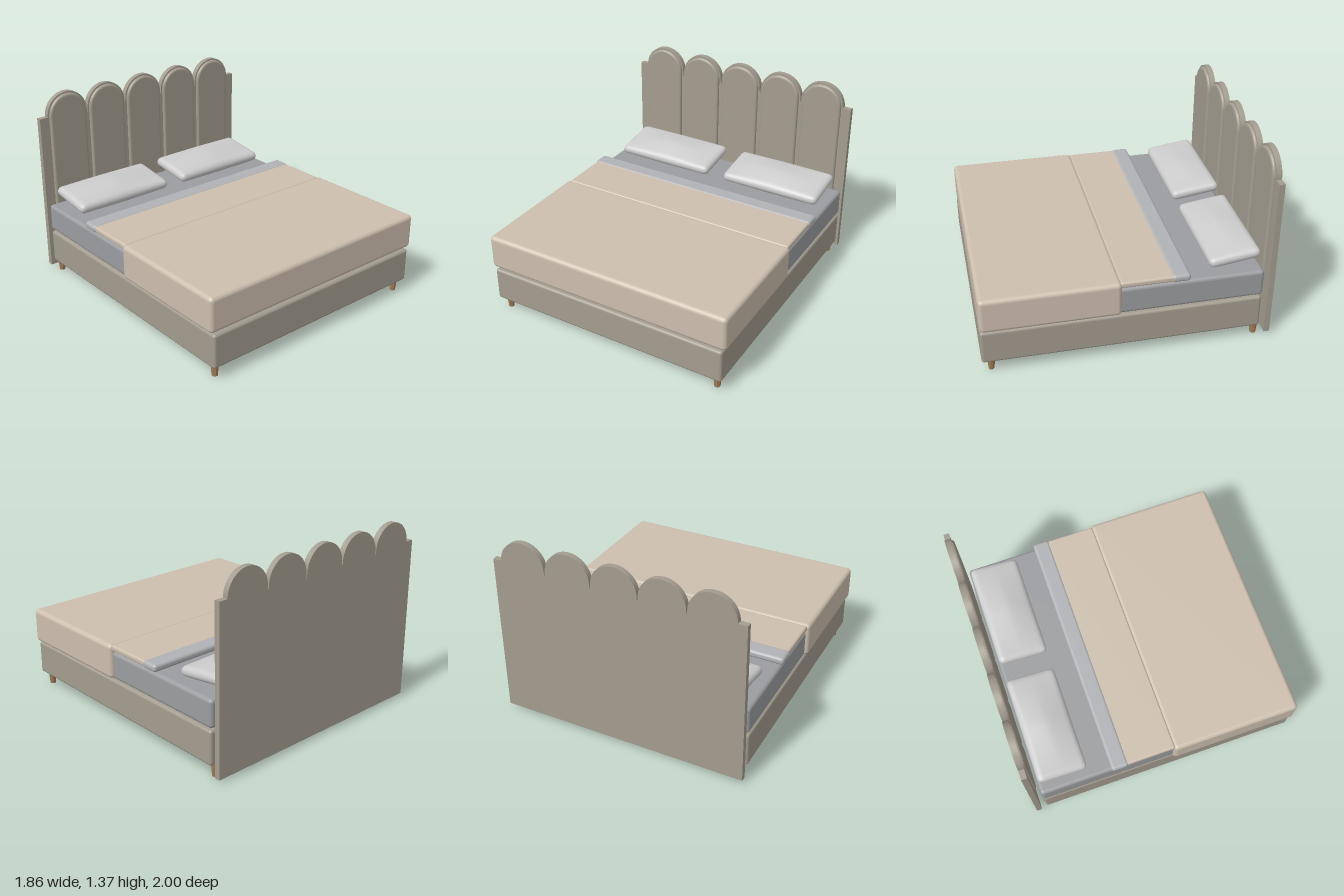
import * as THREE from 'three';
import { RoundedBoxGeometry } from 'three/addons/geometries/RoundedBoxGeometry.js';
import { mergeVertices } from 'three/addons/utils/BufferGeometryUtils.js';

const material = (color) => new THREE.MeshStandardMaterial({ color });
const upholstery = material(0xa39c8f);
const duvetCloth = material(0xcdbfae);
const mattressCloth = material(0x9c9da0);
const sheetCloth = material(0xb0b2b5);
const pillowCloth = material(0xd6d6d2);
const wood = material(0xa07d58);

function addMesh(parent, name, geometry, mat) {
  const mesh = new THREE.Mesh(geometry, mat);
  mesh.name = name;
  parent.add(mesh);
  return mesh;
}

// Rounded box centred on x, given by its width and its y and z ranges
function addSoftBox(parent, name, width, [y0, y1], [z0, z1], radius, mat) {
  const geometry = new RoundedBoxGeometry(width, y1 - y0, z1 - z0, 5, radius);
  geometry.translate(0, (y0 + y1) / 2, (z0 + z1) / 2);
  return addMesh(parent, name, geometry, mat);
}

// Box with fully rounded rim that swells towards its middle
function pillowGeometry(w, h, d, swell) {
  const r = h / 2;
  let geometry = new THREE.BoxGeometry(w, h, d, 48, 8, 24);
  geometry.deleteAttribute('uv');
  geometry.deleteAttribute('normal');
  geometry = mergeVertices(geometry);
  const pos = geometry.attributes.position;
  const half = new THREE.Vector3(w / 2 - r, 0, d / 2 - r);
  const low = half.clone().negate();
  const p = new THREE.Vector3();
  const inner = new THREE.Vector3();
  for (let i = 0; i < pos.count; i++) {
    p.fromBufferAttribute(pos, i);
    inner.copy(p).clamp(low, half);
    p.sub(inner).setLength(r).add(inner);
    const u = Math.min(1, Math.abs(p.x) / (w / 2));
    const v = Math.min(1, Math.abs(p.z) / (d / 2));
    p.y += (p.y / r) * swell * (1 - u ** 1.3) * (1 - v ** 1.5);
    pos.setXYZ(i, p.x, p.y, p.z);
  }
  geometry.computeVertexNormals();
  return geometry;
}

const PITCH = 0.338;
const ARCH_Y = 1.205;
const CHANNELS = [-2, -1, 0, 1, 2].map((i) => i * PITCH);

// Back board with a scalloped top edge
function boardShape() {
  const s = new THREE.Shape();
  s.moveTo(-0.905, 0.03);
  s.lineTo(0.905, 0.03);
  s.lineTo(0.905, ARCH_Y);
  [...CHANNELS].reverse().forEach((x, i) => {
    s.lineTo(x + 0.165, ARCH_Y);
    s.absarc(x, ARCH_Y, 0.165, 0, Math.PI, false);
    if (i < 4) s.lineTo(x - PITCH / 2, ARCH_Y - 0.04);
  });
  s.lineTo(-0.905, ARCH_Y);
  s.closePath();
  return s;
}

// Tall arched panel outline
function archShape(r, bottom) {
  const s = new THREE.Shape();
  s.moveTo(-r, bottom);
  s.lineTo(r, bottom);
  s.lineTo(r, ARCH_Y);
  s.absarc(0, ARCH_Y, r, 0, Math.PI, false);
  s.closePath();
  return s;
}

export function createModel() {
  const bed = new THREE.Group();
  bed.name = 'bed';

  // Headboard: board and five padded channels
  const headboard = new THREE.Group();
  headboard.name = 'headboard';
  bed.add(headboard);
  const board = new THREE.ExtrudeGeometry(boardShape(), {
    depth: 0.04, bevelEnabled: false, curveSegments: 24,
  });
  addMesh(headboard, 'backBoard', board, upholstery).position.z = -1;
  const channel = new THREE.ExtrudeGeometry(archShape(0.135, 0.465), {
    depth: 0.004, bevelEnabled: true, bevelThickness: 0.018, bevelSize: 0.018,
    bevelSegments: 5, curveSegments: 24,
  });
  for (const x of CHANNELS) {
    addMesh(headboard, 'paddedChannel', channel, upholstery).position.set(x, 0, -0.962);
  }

  // Base and mattress
  addSoftBox(bed, 'base', 1.81, [0.09, 0.337], [-0.92, 1], 0.02, upholstery);
  addSoftBox(bed, 'baseTop', 1.7, [0.3, 0.352], [-0.9, 0.96], 0.01, upholstery);
  addSoftBox(bed, 'mattress', 1.81, [0.35, 0.547], [-0.925, 0.97], 0.025, mattressCloth);

  // Bedding
  addSoftBox(bed, 'duvet', 1.86, [0.35, 0.602], [0.06, 1], 0.03, duvetCloth);
  addSoftBox(bed, 'duvetFold', 1.825, [0.557, 0.6], [-0.3, 0.07], 0.015, duvetCloth);
  addSoftBox(bed, 'sheetFold', 1.84, [0.553, 0.606], [-0.405, -0.28], 0.022, sheetCloth);

  // Pillows, raised at the headboard end
  const pillow = pillowGeometry(0.775, 0.072, 0.358, 0.036);
  for (const side of [-1, 1]) {
    const mesh = addMesh(bed, side > 0 ? 'leftPillow' : 'rightPillow', pillow, pillowCloth);
    mesh.position.set(side * 0.456, 0.624, -0.737);
    mesh.rotation.x = 0.14;
  }

  // Tapered legs
  const leg = new THREE.CylinderGeometry(0.029, 0.021, 0.1, 8).toNonIndexed();
  leg.rotateY(Math.PI / 8);
  leg.computeVertexNormals();
  for (const x of [-0.848, 0.848]) {
    for (const z of [-0.9, 0.935]) {
      addMesh(bed, 'leg', leg, wood).position.set(x, 0.05, z);
    }
  }
  return bed;
}
